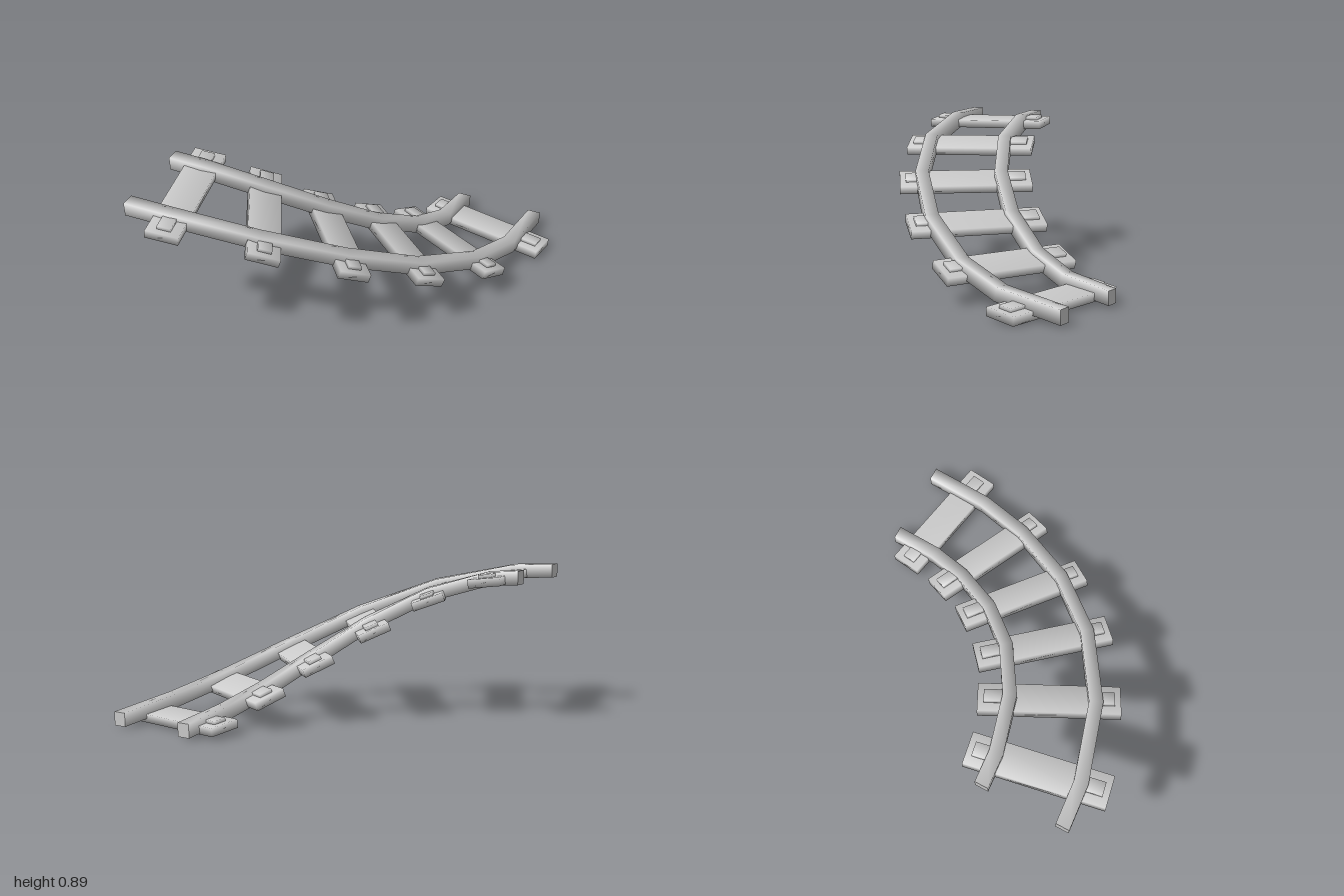
import * as THREE from 'three';
import { mergeVertices } from 'three/addons/utils/BufferGeometryUtils.js';

const RAD = Math.PI / 180;
const material = new THREE.MeshStandardMaterial({ color: 0xcccccc });

// Curve centre is (-1, -1); angle 0 is the high end, 90 the low end.
const pathAngles = [0, 8, 23, 38, 52, 66, 77, 90];
const pathHeights = [0.85, 0.835, 0.73, 0.555, 0.36, 0.19, 0.1, 0.05];

function onCurve(radius, angle, y) {
  return new THREE.Vector3(-1 + radius * Math.sin(angle * RAD), y, -1 + radius * Math.cos(angle * RAD));
}

// Share corners so that the shading runs softly over the edges
function soften(geometry) {
  geometry.deleteAttribute('normal');
  geometry.deleteAttribute('uv');
  const merged = mergeVertices(geometry);
  merged.computeVertexNormals();
  return merged;
}

// Square bar swept along the curve, leaning with the slope
function railGeometry(radius, half = 0.04) {
  const points = pathAngles.map((a, i) => onCurve(radius, a, pathHeights[i]));
  const last = points.length - 1;
  const positions = [], index = [];
  const corners = [[-1, -1], [1, -1], [1, 1], [-1, 1]];
  points.forEach((p, i) => {
    const a = pathAngles[i] * RAD;
    const out = new THREE.Vector3(Math.sin(a), 0, Math.cos(a));
    const along = new THREE.Vector3(Math.cos(a), 0, -Math.sin(a));
    if (i > 0 && i < last) {
      const chord = points[i + 1].clone().sub(points[i - 1]);
      along.y = chord.y / Math.hypot(chord.x, chord.z);
      along.normalize();
    }
    const up = out.clone().cross(along).normalize();
    for (const [u, v] of corners) {
      const q = p.clone().addScaledVector(out, u * half).addScaledVector(up, v * half);
      positions.push(q.x, q.y, q.z);
    }
  });
  for (let i = 0; i < last; i++) {
    for (let j = 0; j < 4; j++) {
      const a = i * 4 + j, b = i * 4 + (j + 1) % 4;
      index.push(a, b + 4, b, a, a + 4, b + 4);
    }
  }
  // End caps with their own corners, to stay flat
  for (const end of [0, last]) {
    const base = positions.length / 3;
    positions.push(...positions.slice(end * 12, end * 12 + 12));
    const faces = end === 0 ? [0, 1, 2, 0, 2, 3] : [0, 2, 1, 0, 3, 2];
    index.push(...faces.map((k) => base + k));
  }
  const g = new THREE.BufferGeometry();
  g.setAttribute('position', new THREE.Float32BufferAttribute(positions, 3));
  g.setIndex(index);
  g.computeVertexNormals();
  return g;
}

function addMesh(parent, geometry, name) {
  const mesh = new THREE.Mesh(geometry, material);
  mesh.name = name;
  parent.add(mesh);
  return mesh;
}

// Sleepers: place on the curve, heading, height, slope and sideways roll
const sleepers = [
  { at: 7.9, radius: 1.603, heading: 10, y: 0.82, slope: 7, roll: 0.8 },
  { at: 23.4, radius: 1.58, heading: 26, y: 0.702, slope: 20, roll: 0.5 },
  { at: 38, radius: 1.575, heading: 40, y: 0.522, slope: 23, roll: 0.3 },
  { at: 52.5, radius: 1.575, heading: 50, y: 0.335, slope: 23, roll: 0.5 },
  { at: 67, radius: 1.58, heading: 64, y: 0.167, slope: 20, roll: 1 },
  { at: 82, radius: 1.603, heading: 80, y: 0.045, slope: 6, roll: 1.5 },
];

export function createModel() {
  const model = new THREE.Group();
  model.name = 'curvedTrackSlope';

  addMesh(model, railGeometry(1.36), 'innerRail');
  addMesh(model, railGeometry(1.84), 'outerRail');

  const plank = soften(new THREE.BoxGeometry(0.19, 0.05, 0.8));
  const pad = soften(new THREE.BoxGeometry(0.08, 0.03, 0.14));
  for (const s of sleepers) {
    const sleeper = new THREE.Group();
    sleeper.name = 'sleeper';
    addMesh(sleeper, plank, 'plank');
    // Fastening pads beside the rails
    for (const side of [-1, 1]) {
      addMesh(sleeper, pad, 'railPad').position.set(0, 0.029, side * 0.295);
    }
    sleeper.position.copy(onCurve(s.radius, s.at, s.y));
    sleeper.rotation.set(s.roll * RAD, s.heading * RAD, -s.slope * RAD, 'YXZ');
    model.add(sleeper);
  }
  return model;
}
